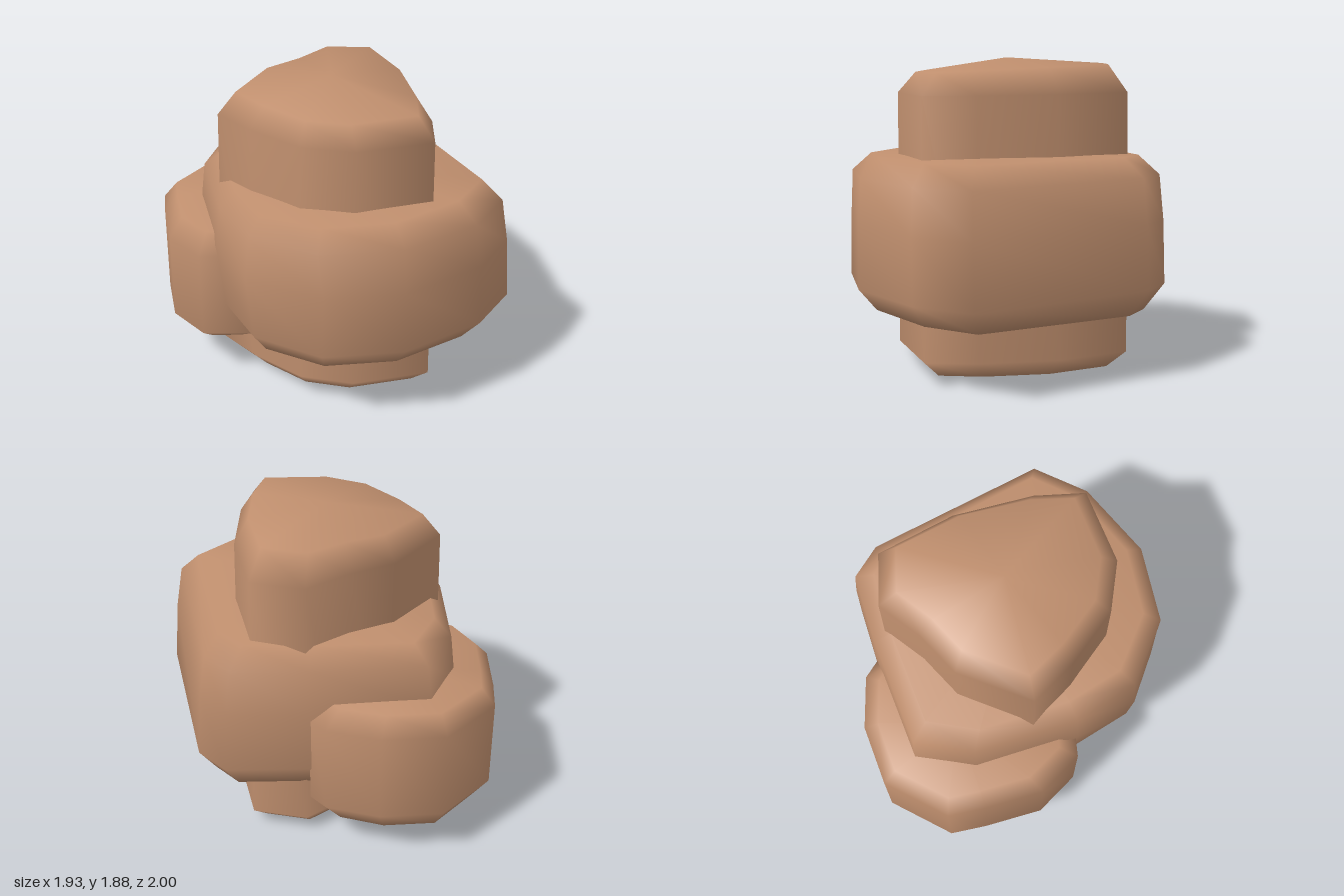
import * as THREE from 'three';

// Loft a closed boulder through rings of equal point count, with a centre point on each cap.
// Each ring is a list of [x, y, z], running clockwise when seen from above.
function loft(rings, bottomY, topY) {
  const n = rings[0].length;
  const pos = rings.flat(2);
  const index = [];
  const cap = (ring, y) => {
    const c = [0, 2].map(k => ring.reduce((s, p) => s + p[k], 0) / n);
    pos.push(c[0], y, c[1]);
    return pos.length / 3 - 1;
  };
  const bottom = cap(rings[0], bottomY);
  const top = cap(rings[rings.length - 1], topY);
  const last = (rings.length - 1) * n;
  for (let i = 0; i < n; i++) {
    const j = (i + 1) % n;
    for (let r = 0; r < last; r += n) {
      index.push(r + i, r + n + i, r + n + j, r + i, r + n + j, r + j);
    }
    index.push(bottom, i, j, top, last + j, last + i);
  }
  const geo = new THREE.BufferGeometry();
  geo.setAttribute('position', new THREE.Float32BufferAttribute(pos, 3));
  geo.setIndex(index);
  geo.computeVertexNormals();
  return geo;
}

// Place an outline at a height (a tilted plane [y, slopeX, slopeZ]), inset towards its middle.
function ring(outline, [y, sx = 0, sz = 0], scale = 1) {
  const n = outline.length;
  const cx = outline.reduce((s, p) => s + p[0], 0) / n;
  const cz = outline.reduce((s, p) => s + p[1], 0) / n;
  return outline.map(([px, pz]) => {
    const x = cx + (px - cx) * scale, z = cz + (pz - cz) * scale;
    return [x, y + sx * x + sz * z, z];
  });
}

export function createModel() {
  const group = new THREE.Group();
  const stone = new THREE.MeshStandardMaterial({ color: 0xc08f6e });
  stone.name = 'brown stone';
  const add = (name, geo) => {
    const mesh = new THREE.Mesh(geo, stone);
    mesh.name = name;
    group.add(mesh);
  };

  // Tall boulder through the middle
  const tall = [
    [-0.65, -0.08], [-0.33, -0.42], [-0.06, -0.52], [0.2, -0.67], [0.5, -0.56], [0.56, -0.08],
    [0.5, 0.4], [0.4, 0.69], [-0.06, 0.68], [-0.33, 0.52], [-0.53, 0.2],
  ];
  const tallBase = tall.map(([x, z]) => [x * 1.04, z * 1.01]);
  add('tallBoulder', loft([
    ring(tallBase, [0.035, -0.035, 0.035], 0.84),
    ring(tallBase, [0.14, -0.03, 0.03]),
    ring(tall, [1.68, 0, 0]),
    ring(tall, [1.82, 0.02, -0.035], 0.84),
  ], 0.02, 1.88));

  // Wide boulder wrapped around it
  const wideLow = [
    [-0.66, -0.46], [-0.47, -0.78], [0.2, -0.77], [0.68, -0.73], [0.83, -0.54], [0.965, 0.6],
    [0.67, 0.85], [0.14, 1.0], [-0.33, 0.91], [-0.64, 0.59], [-0.71, 0.18],
  ];
  const wideMid = wideLow.map(([x, z]) => [x < -0.4 ? x - 0.04 : x * 0.97, z * 0.995]);
  const wideHigh = wideLow.map(([x, z]) => [x < 0 ? x - 0.01 : x * 0.925, z * 0.975]);
  add('wideBoulder', loft([
    ring(wideLow, [0.4, -0.005, 0.02], 0.88),
    ring(wideLow, [0.55]),
    ring(wideMid, [0.93]),
    ring(wideHigh, [1.2]),
    ring(wideHigh, [1.305, 0.02, 0.005], 0.87),
  ], 0.4, 1.335));

  // Low boulder against the back right
  const low = [
    [-0.5, 0.25], [-0.85, 0.14], [-0.97, -0.14], [-0.93, -0.5], [-0.89, -0.72], [-0.56, -1.0],
    [-0.19, -0.99], [0.11, -0.87], [0.19, -0.76], [0.15, -0.5], [-0.1, 0],
  ];
  add('lowBoulder', loft([
    ring(low, [0.24, 0, 0.05], 0.82),
    ring(low, [0.34]),
    ring(low, [0.88]),
    ring(low, [0.985], 0.84),
  ], 0.2, 1.0));

  return group;
}
